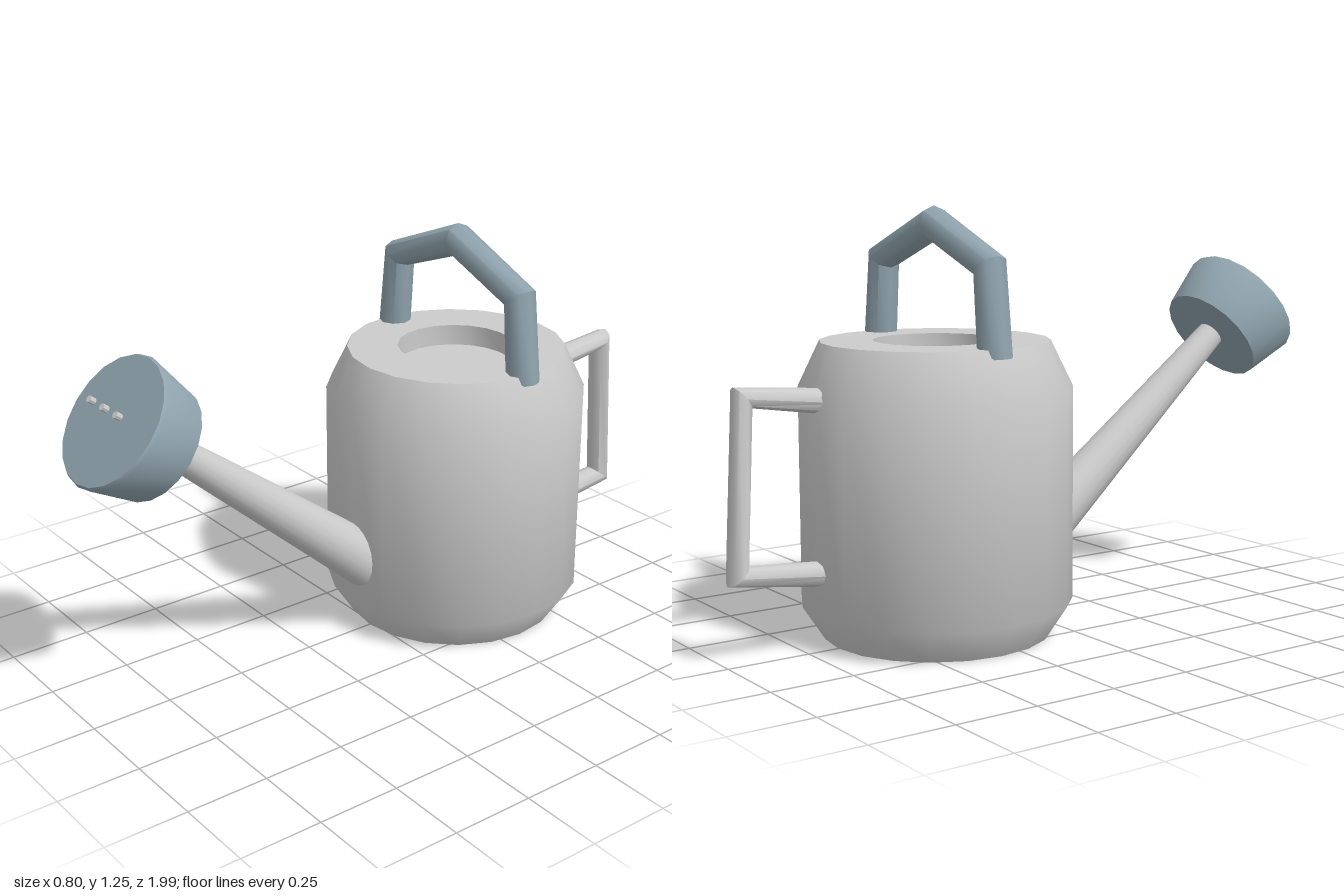
import * as THREE from 'three';
import { toCreasedNormals } from 'three/addons/utils/BufferGeometryUtils.js';

const SIDES = 20, CREASE = 0.9, BODY_Z = -0.32;
const UP = new THREE.Vector3(0, 1, 0);
const V = (x, y, z) => new THREE.Vector3(x, y, z);

const grey = new THREE.MeshStandardMaterial({ color: 0xcccccc });
const blue = new THREE.MeshStandardMaterial({ color: 0x90a4ae });

function makeMesh(name, geometry, material) {
  const mesh = new THREE.Mesh(toCreasedNormals(geometry, CREASE), material);
  mesh.name = name;
  return mesh;
}

// Solid of revolution from [radius, height] pairs
function turned(profile) {
  return new THREE.LatheGeometry(profile.map(([r, y]) => new THREE.Vector2(r, y)), SIDES);
}

// Octagonal bar through the points of a planar path, with mitred corners and capped ends
function bar(path, planeNormal, radius, sides = 8) {
  const positions = [], index = [];
  path.forEach((p, i) => {
    const before = i > 0 ? p.clone().sub(path[i - 1]).normalize() : V(0, 0, 0);
    const after = i < path.length - 1 ? path[i + 1].clone().sub(p).normalize() : V(0, 0, 0);
    const side = planeNormal.clone().cross(before.add(after).normalize());
    for (let j = 0; j < sides; j++) {
      const a = (j / sides) * Math.PI * 2;
      const q = p.clone().addScaledVector(side, radius * Math.cos(a))
        .addScaledVector(planeNormal, radius * Math.sin(a));
      positions.push(q.x, q.y, q.z);
    }
  });
  const last = (path.length - 1) * sides;
  for (let j = 0; j < sides; j++) {
    const k = (j + 1) % sides;
    for (let r = 0; r < last; r += sides) {
      index.push(r + j, r + k, r + sides + j, r + k, r + sides + k, r + sides + j);
    }
    if (j > 0 && j < sides - 1) {
      index.push(0, k, j, last, last + j, last + k);
    }
  }
  const geometry = new THREE.BufferGeometry();
  geometry.setAttribute('position', new THREE.Float32BufferAttribute(positions, 3));
  geometry.setIndex(index);
  return geometry;
}

export function createModel() {
  const group = new THREE.Group();

  // Body with chamfered shoulders and a shallow recessed opening
  const body = makeMesh('body', turned([
    [0, 0], [0.335, 0], [0.4, 0.1], [0.4, 0.73], [0.335, 0.865],
    [0.18, 0.865], [0.18, 0.8], [0, 0.8],
  ]), grey);
  body.position.z = BODY_Z;
  group.add(body);

  // Tapered spout, rooted inside the body
  const start = V(0, 0.19, -0.023), end = V(0, 0.82, 0.745);
  const axis = end.clone().sub(start);
  const spout = makeMesh('spout',
    new THREE.CylinderGeometry(0.043, 0.087, axis.length(), SIDES), grey);
  spout.position.copy(start).add(end).multiplyScalar(0.5);
  spout.quaternion.setFromUnitVectors(UP, axis.normalize());
  group.add(spout);

  // Sprinkler head: flared drum with a narrow bevel around its face
  const aim = V(0, 0.62, 0.785).normalize();
  const head = makeMesh('sprinklerHead', turned([
    [0, 0], [0.17, 0], [0.2, 0.157], [0.194, 0.168], [0, 0.168],
  ]), blue);
  head.position.set(0, 0.813, 0.747);
  head.quaternion.setFromUnitVectors(UP, aim);
  group.add(head);

  // Row of small drops just off the face
  for (const x of [-0.07, 0, 0.07]) {
    const drop = makeMesh('waterDrop', new THREE.CylinderGeometry(0.01, 0.01, 0.02, 8), grey);
    drop.position.set(x, 0.958, 0.9);
    drop.quaternion.copy(head.quaternion);
    group.add(drop);
  }

  // Carrying handle arched across the top
  const arch = [[-0.305, 0.835], [-0.28, 1.09], [0, 1.2], [0.28, 1.09], [0.305, 0.835]];
  group.add(makeMesh('topHandle',
    bar(arch.map(([x, y]) => V(x, y, BODY_Z)), V(0, 0, 1), 0.05), blue));

  // Pouring handle at the back
  const grip = [[0.705, -0.6], [0.745, -0.94], [0.255, -0.965], [0.214, -0.6]];
  group.add(makeMesh('backHandle',
    bar(grip.map(([y, z]) => V(0, y, z)), V(1, 0, 0), 0.04), grey));

  return group;
}
